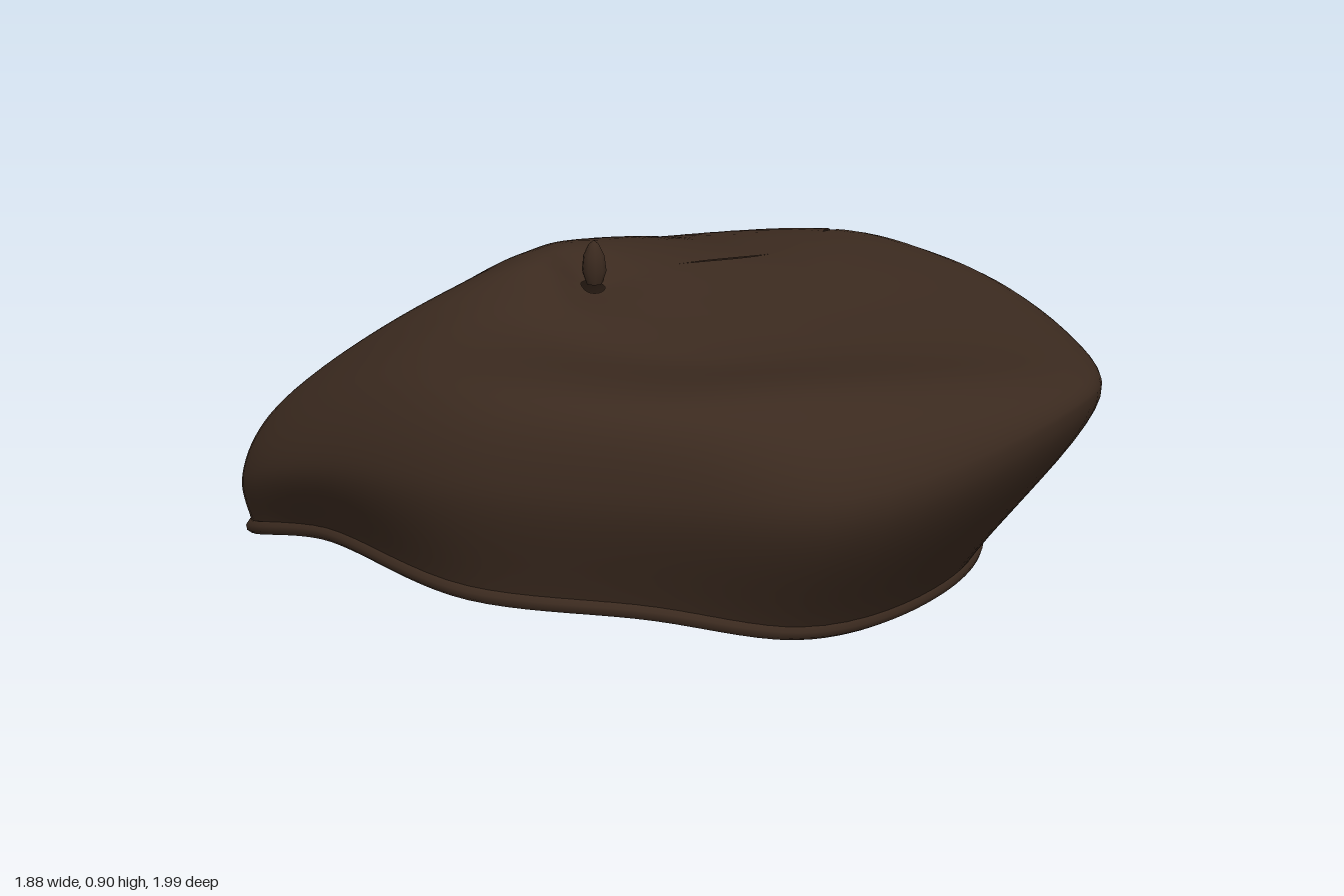
import * as THREE from 'three';

const felt = new THREE.MeshStandardMaterial({ color: 0x3b2a1f, side: THREE.DoubleSide });
felt.name = 'darkBrownFelt';

// Closed loops of x, y, z points, each starting at the back seam and passing the right side first
const rim = [
  -.12, .018, -.91, -.5, .02, -.8, -.81, .06, -.48, -.915, .13, 0, -.865, .19, .42, -.805, .255, .67,
  -.52, .33, .78, -.05, .35, .95, .3, .34, .86, .54, .26, .66, .63, .13, .05, .55, .06, -.45, .27, .018, -.77];
const widest = [
  -.09, .36, -.997, -.5, .3, -.85, -.83, .22, -.48, -.94, .19, .02, -.88, .28, .42, -.825, .37, .67,
  -.45, .53, .88, -.04, .6, .995, .37, .6, .915, .68, .58, .74, .935, .61, 0, .78, .53, -.48, .43, .45, -.86];
const shoulder = [
  0, .665, -.88, -.42, .6, -.74, -.71, .51, -.4, -.81, .5, .02, -.805, .51, .37, -.775, .515, .61,
  -.4, .69, .78, -.03, .755, .91, .34, .76, .86, .56, .76, .68, .86, .665, 0, .7, .65, -.44, .38, .665, -.75];
const crown = [
  .05, .76, -.3, -.25, .775, -.28, -.48, .735, -.1, -.53, .73, .13, -.5, .75, .28, -.43, .78, .41,
  -.29, .79, .47, -.1, .755, .52, .1, .735, .5, .25, .725, .42, .35, .7, .12, .3, .705, -.1, .17, .735, -.28];
const peak = [
  -.07, .81, .12, -.17, .845, .11, -.24, .86, .17, -.26, .86, .23, -.26, .86, .28, -.24, .85, .33,
  -.2, .825, .36, -.14, .795, .38, -.08, .78, .37, -.03, .775, .32, -.01, .78, .25, -.02, .79, .18, -.04, .8, .14];

const toPoints = (a) => Array.from({ length: a.length / 3 }, (_, i) => new THREE.Vector3().fromArray(a, i * 3));
const toLoop = (points) => new THREE.CatmullRomCurve3(points, true, 'centripetal');

// Openings along the back seam: start, end (in loop numbers) and half width
const slits = [[.45, 1.65, .024], [1.65, 2.42, .022], [3.05, 3.7, .006]];
function seamGap(s) {
  let gap = 0;
  for (const [from, to, width] of slits) {
    if (s > from && s < to) gap += width * Math.sin(Math.PI * (s - from) / (to - from));
  }
  return gap;
}

// Soft cloth body, lofted through the loops from the rim to a tiny hole at the stalk
function makeBody() {
  const centre = new THREE.Vector3(-.14, .79, .26);
  const hole = toPoints(peak).map((p) => p.lerp(centre, .8));
  const loops = [...[rim, widest, shoulder, crown, peak].map(toPoints), hole].map(toLoop);
  const columns = 104, rows = 60;
  const positions = [], index = [];
  for (let c = 0; c <= columns; c++) {
    const profile = new THREE.CatmullRomCurve3(loops.map((l) => l.getPoint((c % columns) / columns)), false, 'centripetal');
    const side = c === 0 ? -1 : c === columns ? 1 : 0;
    for (let r = 0; r <= rows; r++) {
      const p = profile.getPoint(r / rows);
      p.x += side * seamGap(r / rows * (loops.length - 1));
      positions.push(p.x, p.y, p.z);
      if (c < columns && r < rows) {
        const a = c * (rows + 1) + r, b = a + rows + 1;
        index.push(a, b, a + 1, b, b + 1, a + 1);
      }
    }
  }
  const g = new THREE.BufferGeometry();
  g.setAttribute('position', new THREE.Float32BufferAttribute(positions, 3));
  g.setIndex(index);
  g.computeVertexNormals();
  return g;
}

export function createModel() {
  const group = new THREE.Group();
  group.name = 'beret';
  const add = (name, geometry) => {
    const mesh = new THREE.Mesh(geometry, felt);
    mesh.name = name;
    group.add(mesh);
    return mesh;
  };

  add('clothBody', makeBody());

  // Rolled hem around the head opening
  add('rimHem', new THREE.TubeGeometry(toLoop(toPoints(rim)), 130, .016, 8, true));

  // Little pointed stalk on the crown
  const stalkProfile = [[.018, 0], [.028, .03], [.024, .065], [.012, .09], [0, .1]].map(([x, y]) => new THREE.Vector2(x, y));
  add('stalk', new THREE.LatheGeometry(stalkProfile, 10)).position.set(-.15, .795, .23);

  return group;
}
